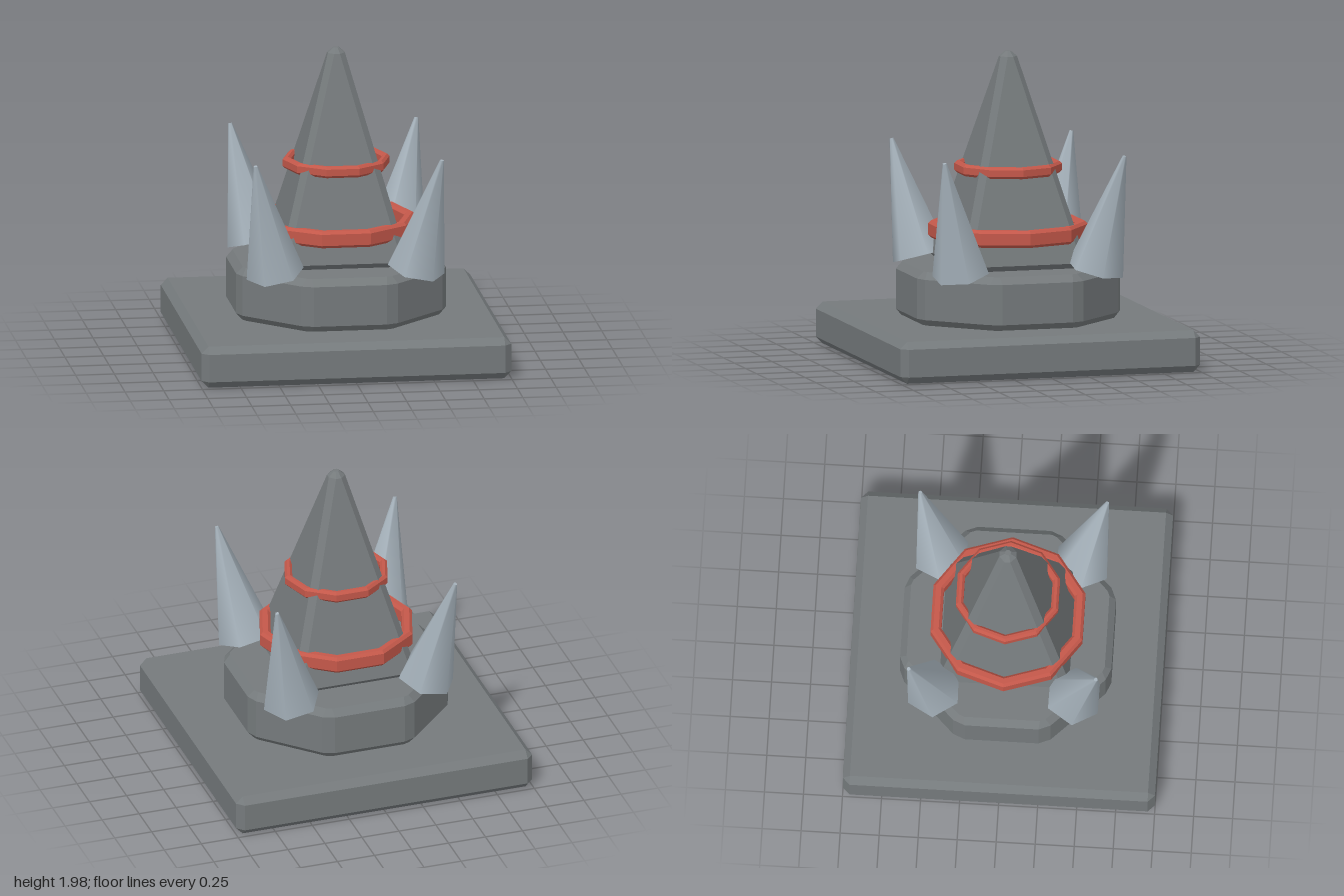
import * as THREE from 'three';

const stone = new THREE.MeshStandardMaterial({ color: 0x757a7c });
stone.name = 'grey stone';
const red = new THREE.MeshStandardMaterial({ color: 0xc4584a });
red.name = 'red band';
const steel = new THREE.MeshStandardMaterial({ color: 0xa5b1ba });
steel.name = 'pale steel';

function addMesh(parent, name, geometry, material) {
  const mesh = new THREE.Mesh(geometry, material);
  mesh.name = name;
  parent.add(mesh);
  return mesh;
}

// Regular polygon with a flat side towards +z and each corner cut off
function cutPolygon(sides, apothem, cut, y) {
  const points = [];
  const radius = apothem / Math.cos(Math.PI / sides);
  const corner = (k) => {
    const a = ((k + 0.5) * 2 * Math.PI) / sides;
    return new THREE.Vector3(Math.sin(a) * radius, y, Math.cos(a) * radius);
  };
  for (let k = 0; k < sides; k++) {
    const c = corner(k);
    for (const near of [corner(k - 1), corner(k + 1)]) {
      points.push(c.clone().add(near.sub(c).setLength(cut)));
    }
  }
  return points;
}

// Flat-faced solid through stacked sections [y, apothem, cut], capped at both ends
function loft(sides, sections) {
  const loops = sections.map(([y, apothem, cut]) => cutPolygon(sides, apothem, cut, y));
  const n = sides * 2;
  const corners = [];
  for (let i = 0; i < loops.length - 1; i++) {
    for (let j = 0; j < n; j++) {
      const k = (j + 1) % n;
      const [a, b, c, d] = [loops[i][j], loops[i][k], loops[i + 1][k], loops[i + 1][j]];
      corners.push(a, b, c, a, c, d);
    }
  }
  const first = loops[0];
  const last = loops[loops.length - 1];
  const bottom = new THREE.Vector3(0, first[0].y, 0);
  const top = new THREE.Vector3(0, last[0].y, 0);
  for (let j = 0; j < n; j++) {
    const k = (j + 1) % n;
    corners.push(bottom, first[k], first[j], top, last[j], last[k]);
  }
  const geometry = new THREE.BufferGeometry().setFromPoints(corners);
  geometry.computeVertexNormals();
  return geometry;
}

// Ten-sided band with chamfered edges
function band(outer, inner, y0, y1, bevel) {
  const profile = [
    [inner, y0 + bevel], [inner + bevel, y0], [outer - bevel, y0], [outer, y0 + bevel],
    [outer, y1 - bevel], [outer - bevel, y1], [inner + bevel, y1], [inner, y1 - bevel],
    [inner, y0 + bevel],
  ].map(([x, y]) => new THREE.Vector2(x, y));
  const geometry = new THREE.LatheGeometry(profile, 10).rotateY(Math.PI / 2).toNonIndexed();
  geometry.computeVertexNormals();
  return geometry;
}

export function createModel() {
  const model = new THREE.Group();
  model.name = 'spikedMonument';

  // Square slab, octagonal plinth and tapering spire
  addMesh(model, 'baseSlab', loft(4, [
    [0, 0.955, 0], [0.045, 1, 0.045], [0.225, 1, 0.045], [0.27, 0.955, 0],
  ]), stone);
  addMesh(model, 'plinth', loft(8, [
    [0.265, 0.635, 0.02], [0.31, 0.677, 0.045], [0.57, 0.677, 0.045], [0.615, 0.635, 0.02],
  ]), stone);
  addMesh(model, 'spire', loft(4, [
    [0.61, 0.375, 0.005], [0.65, 0.415, 0.045], [1.95, 0.055, 0.037], [1.983, 0.018, 0.01],
  ]), stone);

  // Bands round the spire
  addMesh(model, 'lowerBand', band(0.512, 0.44, 0.775, 0.885, 0.018), red);
  addMesh(model, 'upperBand', band(0.345, 0.295, 1.197, 1.272, 0.016), red);

  // Four spikes leaning outwards over the plinth corners
  const up = new THREE.Vector3(0, 1, 0);
  for (const sx of [1, -1]) {
    for (const sz of [1, -1]) {
      const foot = new THREE.Vector3(0.455 * sx, 0.615, 0.45 * sz);
      const tip = new THREE.Vector3(0.602 * sx, 1.36, 0.6 * sz);
      const axis = tip.clone().sub(foot);
      const geometry = new THREE.CylinderGeometry(0.013, 0.187, axis.length(), 6);
      geometry.rotateY(Math.PI / 2);
      const name = (sz > 0 ? 'front' : 'back') + (sx > 0 ? 'Left' : 'Right') + 'Spike';
      const spike = addMesh(model, name, geometry, steel);
      spike.position.copy(foot).addScaledVector(axis, 0.5);
      spike.quaternion.setFromUnitVectors(up, axis.normalize());
    }
  }
  return model;
}
